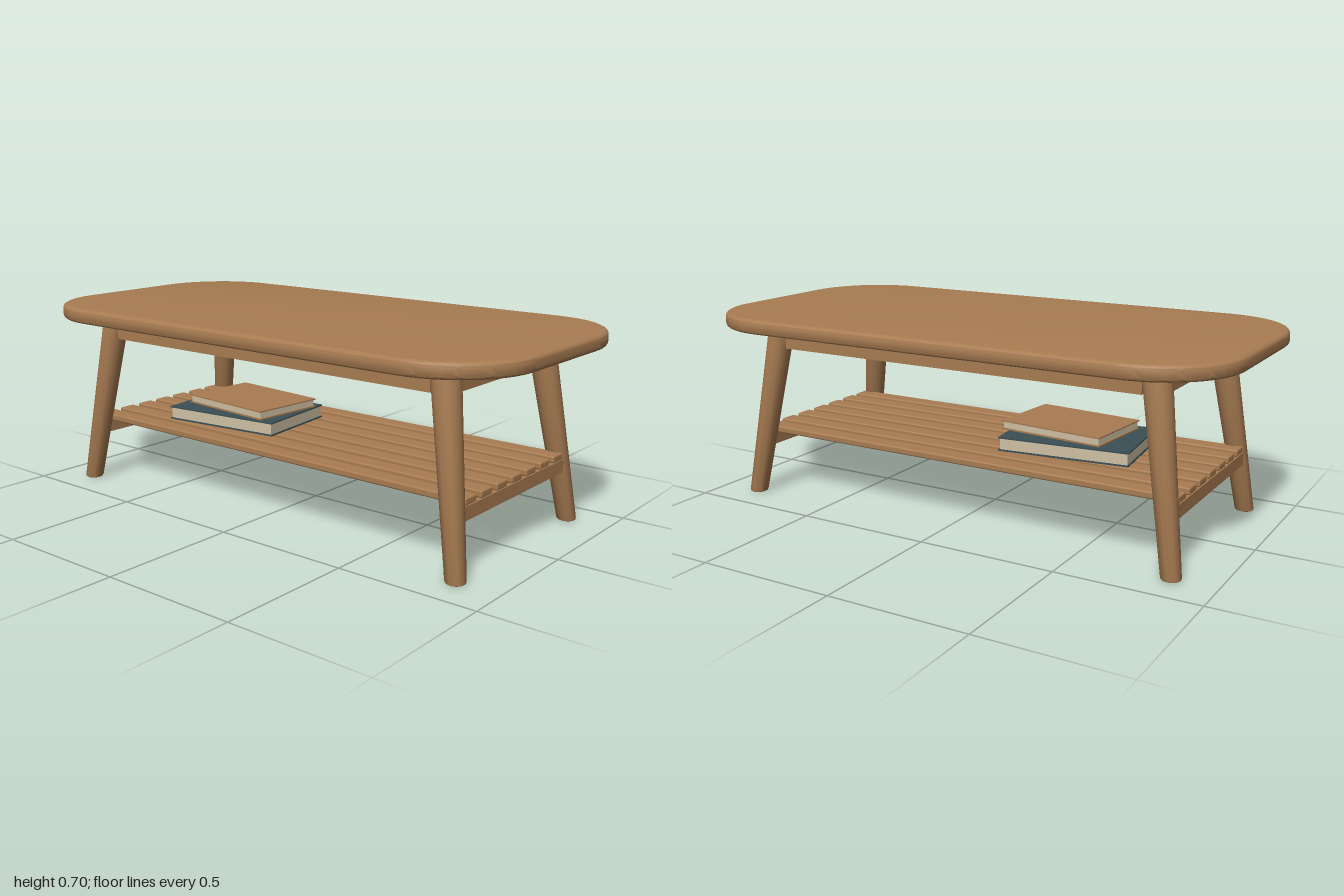
import * as THREE from 'three';
import { toCreasedNormals } from 'three/addons/utils/BufferGeometryUtils.js';
import { RoundedBoxGeometry } from 'three/addons/geometries/RoundedBoxGeometry.js';

const material = (name, color) => {
  const m = new THREE.MeshStandardMaterial({ color });
  m.name = name;
  return m;
};

export function createModel() {
  const wood = material('wood', 0xa87c52);
  const slate = material('slate cover', 0x3a4f55);
  const paper = material('paper', 0xcfc0a4);
  const table = new THREE.Group();
  table.name = 'coffeeTable';

  const add = (name, geometry, mat, x = 0, y = 0, z = 0, parent = table) => {
    const mesh = new THREE.Mesh(geometry, mat);
    mesh.name = name;
    mesh.position.set(x, y, z);
    parent.add(mesh);
    return mesh;
  };

  // Table top: rounded rectangle with a soft edge
  const bevel = 0.016, topBase = 0.645, topHeight = 0.053;
  const hx = 1 - bevel, hz = 0.506 - bevel, r = 0.28;
  const outline = new THREE.Shape();
  outline.absarc(hx - r, hz - r, r, 0, Math.PI / 2);
  outline.absarc(-hx + r, hz - r, r, Math.PI / 2, Math.PI);
  outline.absarc(-hx + r, -hz + r, r, Math.PI, Math.PI * 1.5);
  outline.absarc(hx - r, -hz + r, r, Math.PI * 1.5, Math.PI * 2);
  const top = new THREE.ExtrudeGeometry(outline, {
    depth: topHeight - 2 * bevel, bevelEnabled: true, bevelSize: bevel,
    bevelThickness: bevel, bevelSegments: 5, curveSegments: 16,
  });
  top.rotateX(-Math.PI / 2);
  add('tableTop', toCreasedNormals(top, 0.6), wood, 0, topBase + bevel, 0);

  // Splayed tapering legs: a turned profile sheared outward towards the floor
  const legProfile = [[0, 0], [0.028, 0], [0.032, 0.002], [0.034, 0.007], [0.049, 0.65], [0, 0.65]]
    .map(([x, y]) => new THREE.Vector2(x, y));
  for (const sx of [-1, 1]) {
    for (const sz of [-1, 1]) {
      const leg = new THREE.LatheGeometry(legProfile, 24);
      const p = leg.attributes.position;
      for (let i = 0; i < p.count; i++) {
        const t = p.getY(i) / 0.645;
        p.setX(i, p.getX(i) + sx * (0.846 - 0.1 * t));
        p.setZ(i, p.getZ(i) + sz * (0.367 - 0.067 * t));
      }
      add((sz > 0 ? 'front' : 'back') + (sx > 0 ? 'Left' : 'Right') + 'Leg',
        toCreasedNormals(leg, 0.6), wood);
    }
  }

  // Aprons under the top, and stretchers carrying the shelf
  for (const s of [-1, 1]) {
    const side = s > 0 ? 'left' : 'right';
    add(s > 0 ? 'frontApron' : 'backApron',
      new THREE.BoxGeometry(1.42, 0.082, 0.048), wood, 0, 0.606, s * 0.304);
    add(side + 'Apron', new THREE.BoxGeometry(0.048, 0.082, 0.532), wood, s * 0.753, 0.606, 0);
    add(side + 'Stretcher', new THREE.BoxGeometry(0.052, 0.047, 0.648), wood, s * 0.818, 0.2065, 0);
  }

  // Shelf slats
  for (let i = -3; i <= 3; i++) {
    add('shelfSlat', new RoundedBoxGeometry(1.684, 0.025, 0.066, 3, 0.006), wood, 0, 0.242, i * 0.095);
  }

  // Books: a page block between two slightly larger cover boards
  const addBook = (name, cover, w, h, d, x, y, z, turn) => {
    const book = new THREE.Group();
    book.name = name;
    const board = 0.005;
    add('pages', new THREE.BoxGeometry(w - 0.01, h - 2 * board, d - 0.01), paper, 0, h / 2, 0, book);
    for (const by of [board / 2, h - board / 2]) {
      add('coverBoard', new THREE.BoxGeometry(w, board, d), cover, 0, by, 0, book);
    }
    book.position.set(x, y, z);
    book.rotation.y = turn;
    table.add(book);
  };
  addBook('lowerBook', slate, 0.478, 0.05, 0.342, -0.331, 0.2545, 0.022, 0.109);
  addBook('upperBook', wood, 0.4, 0.033, 0.287, -0.298, 0.313, 0.024, -0.09);

  return table;
}
